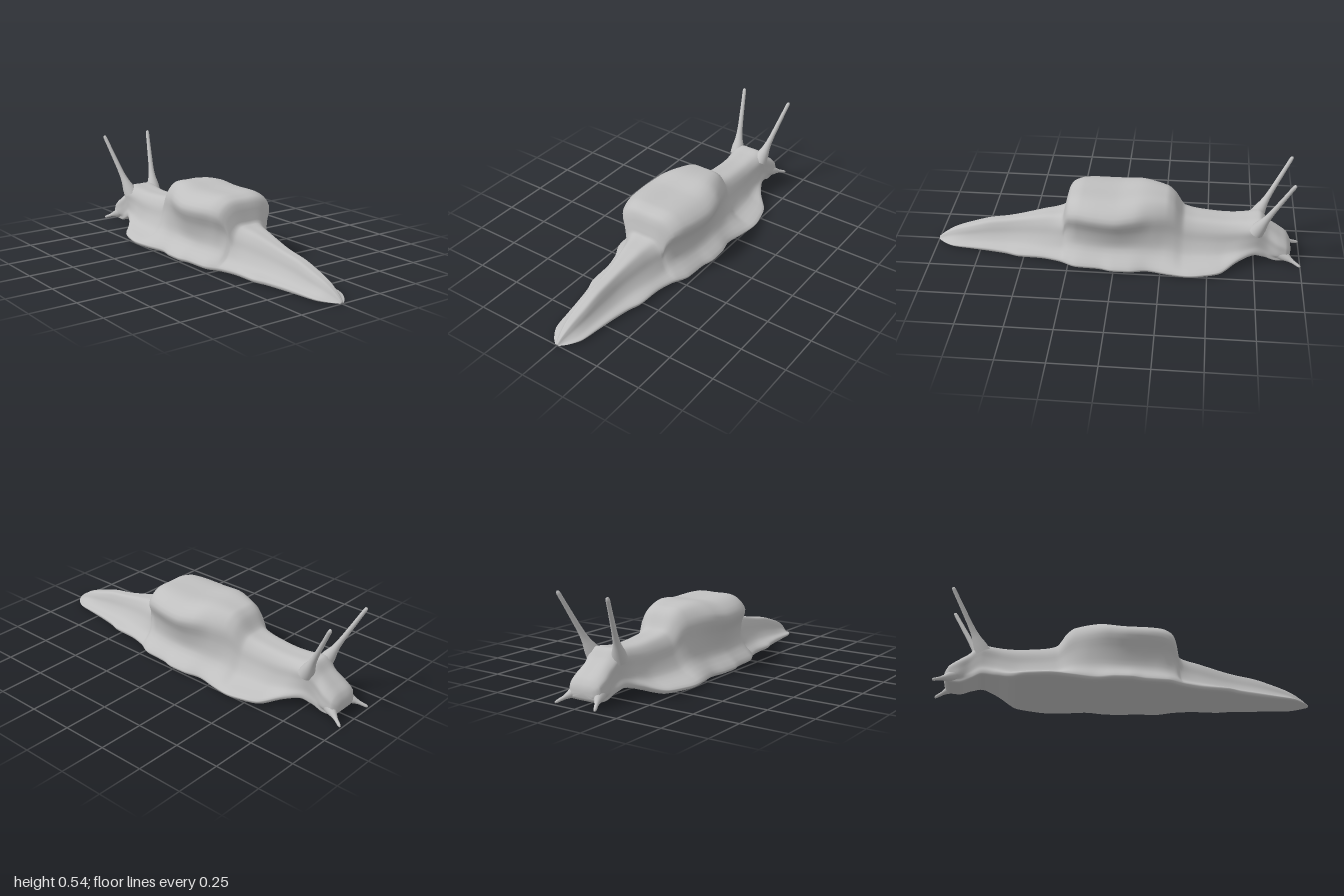
import * as THREE from 'three';

// Smooth monotone interpolation through [z, value] keys (z descending)
function track(keys) {
  const n = keys.length;
  const d = keys.slice(1).map((k, i) => (k[1] - keys[i][1]) / (k[0] - keys[i][0]));
  const m = keys.map((_, i) => {
    if (i === 0) return d[0];
    if (i === n - 1) return d[n - 2];
    const a = d[i - 1], b = d[i];
    return a * b <= 0 ? 0 : (2 * a * b) / (a + b);
  });
  return (z) => {
    let i = 0;
    while (i < n - 2 && z < keys[i + 1][0]) i++;
    const h = keys[i + 1][0] - keys[i][0];
    const t = THREE.MathUtils.clamp((z - keys[i][0]) / h, 0, 1);
    const t2 = t * t, t3 = t2 * t;
    return (2 * t3 - 3 * t2 + 1) * keys[i][1] + (t3 - 2 * t2 + t) * h * m[i]
      + (3 * t2 - 2 * t3) * keys[i + 1][1] + (t3 - t2) * h * m[i + 1];
  };
}

// Heights of the sole and back, from tail to snout
const sole = track([[1, 0.004], [0.7, 0.005], [0.4, 0.009], [0, 0.008], [-0.3, 0.004], [-0.56, 0.008],
  [-0.68, 0.045], [-0.75, 0.062], [-0.8, 0.045], [-0.87, 0.02], [-0.925, 0.025], [-0.945, 0.045]]);
const back = track([[1, 0.014], [0.97, 0.04], [0.9, 0.082], [0.8, 0.118], [0.7, 0.148], [0.6, 0.165],
  [0.4, 0.212], [0.285, 0.238], [0.265, 0.33], [0.24, 0.362], [0.18, 0.378], [0, 0.372], [-0.15, 0.388],
  [-0.27, 0.372], [-0.31, 0.345], [-0.37, 0.265], [-0.45, 0.248], [-0.6, 0.238], [-0.7, 0.245],
  [-0.77, 0.255], [-0.82, 0.205], [-0.88, 0.16], [-0.925, 0.125], [-0.945, 0.09]]);

// Half-widths at the foot edge, lower flank, upper flank and mantle rim
const foot = track([[1, 0.012], [0.97, 0.045], [0.9, 0.085], [0.8, 0.1], [0.7, 0.115], [0.6, 0.135],
  [0.52, 0.16], [0.4, 0.167], [0.3, 0.19], [0.2, 0.235], [0.08, 0.242], [0, 0.26], [-0.08, 0.258],
  [-0.18, 0.238], [-0.3, 0.26], [-0.4, 0.273], [-0.5, 0.255], [-0.56, 0.235], [-0.65, 0.16],
  [-0.72, 0.12], [-0.78, 0.1], [-0.82, 0.088], [-0.88, 0.085], [-0.925, 0.085], [-0.945, 0.05]]);
const lower = track([[1, 0.01], [0.9, 0.06], [0.8, 0.07], [0.6, 0.088], [0.4, 0.122], [0.28, 0.145],
  [0.15, 0.172], [0, 0.182], [-0.2, 0.176], [-0.35, 0.165], [-0.5, 0.15], [-0.65, 0.122], [-0.75, 0.1],
  [-0.82, 0.086], [-0.88, 0.096], [-0.925, 0.092], [-0.945, 0.06]]);
const upper = track([[1, 0.008], [0.9, 0.036], [0.8, 0.046], [0.6, 0.056], [0.4, 0.088], [0.28, 0.12],
  [0.2, 0.162], [0, 0.19], [-0.2, 0.165], [-0.35, 0.127], [-0.5, 0.112], [-0.65, 0.102], [-0.75, 0.1],
  [-0.82, 0.086], [-0.88, 0.096], [-0.925, 0.092], [-0.945, 0.06]]);
const rim = track([[1, 0.006], [0.9, 0.026], [0.8, 0.036], [0.6, 0.042], [0.4, 0.07], [0.3, 0.098],
  [0.27, 0.135], [0.25, 0.165], [0.2, 0.192], [0.1, 0.215], [0, 0.222], [-0.1, 0.206], [-0.2, 0.168],
  [-0.3, 0.13], [-0.37, 0.105], [-0.5, 0.095], [-0.65, 0.092], [-0.75, 0.1], [-0.82, 0.086],
  [-0.88, 0.092], [-0.925, 0.085], [-0.945, 0.055]]);

const AROUND = 64, ROWS = 200, TAIL = 1, SNOUT = -0.945;

// One closed cross-section, counter-clockwise from the middle of the sole
function section(z) {
  const b = sole(z), h = back(z) - b, f = foot(z), r = rim(z);
  const half = [
    [f * 0.6, b], [f * 0.96, b + Math.min(0.003, h * 0.1)], [f, b + Math.min(0.022, h * 0.15)],
    [lower(z), b + h * 0.27], [upper(z), b + h * 0.53], [r, b + h * 0.8], [r * 0.64, b + h * 0.98],
  ];
  const pts = [[0, b], ...half, [0, b + h], ...half.slice().reverse().map(([x, y]) => [-x, y])];
  const curve = new THREE.CatmullRomCurve3(pts.map(([x, y]) => new THREE.Vector3(x, y, z)), true, 'centripetal');
  return curve.getPoints(AROUND).slice(0, AROUND);
}

function bodyGeometry() {
  const pos = [], index = [];
  for (let i = 0; i <= ROWS; i++) {
    const z = THREE.MathUtils.lerp(TAIL, SNOUT, i / ROWS);
    section(z).forEach((p) => pos.push(p.x, p.y, p.z));
  }
  const last = ROWS * AROUND, tailTip = last + AROUND, snoutTip = tailTip + 1;
  pos.push(0, 0.009, TAIL, 0, 0.068, SNOUT + 0.004);
  for (let j = 0; j < AROUND; j++) {
    const k = (j + 1) % AROUND;
    for (let i = 0; i < ROWS; i++) {
      const a = i * AROUND + j, b = i * AROUND + k;
      index.push(a, a + AROUND, b, b, a + AROUND, b + AROUND);
    }
    index.push(tailTip, j, k, snoutTip, last + k, last + j);
  }
  const g = new THREE.BufferGeometry();
  g.setAttribute('position', new THREE.Float32BufferAttribute(pos, 3));
  g.setIndex(index);
  g.computeVertexNormals();
  return g;
}

// Round feeler from a to b; profile holds [radius, fraction of length]
function feeler(name, a, b, profile, material) {
  const from = new THREE.Vector3(...a), dir = new THREE.Vector3(...b).sub(from);
  const len = dir.length();
  const g = new THREE.LatheGeometry(profile.map(([r, t]) => new THREE.Vector2(r, t * len)), 16);
  const mesh = new THREE.Mesh(g, material);
  mesh.name = name;
  mesh.position.copy(from);
  mesh.quaternion.setFromUnitVectors(new THREE.Vector3(0, 1, 0), dir.normalize());
  return mesh;
}

export function createModel() {
  const group = new THREE.Group();
  group.name = 'slug';
  const skin = new THREE.MeshStandardMaterial({ color: 0xc0c0c0 });
  skin.name = 'grey skin';

  const body = new THREE.Mesh(bodyGeometry(), skin);
  body.name = 'body';
  group.add(body);

  // Long eye stalks and short lower feelers, mirrored
  const stalk = [[0.042, 0], [0.034, 0.12], [0.023, 0.22], [0.017, 0.32], [0.014, 0.45], [0.011, 0.8],
    [0.0105, 0.95], [0.008, 0.985], [0, 1]];
  const short = [[0.035, 0], [0.028, 0.25], [0.016, 0.48], [0.01, 0.65], [0.008, 0.92], [0.005, 0.98], [0, 1]];
  for (const [side, s] of [['left', 1], ['right', -1]]) {
    group.add(feeler(side + 'EyeStalk', [s * 0.078, 0.2, -0.752], [s * 0.152, 0.54, -0.93], stalk, skin));
    group.add(feeler(side + 'LowerFeeler', [s * 0.062, 0.065, -0.885], [s * 0.122, 0.014, -1], short, skin));
  }
  return group;
}
